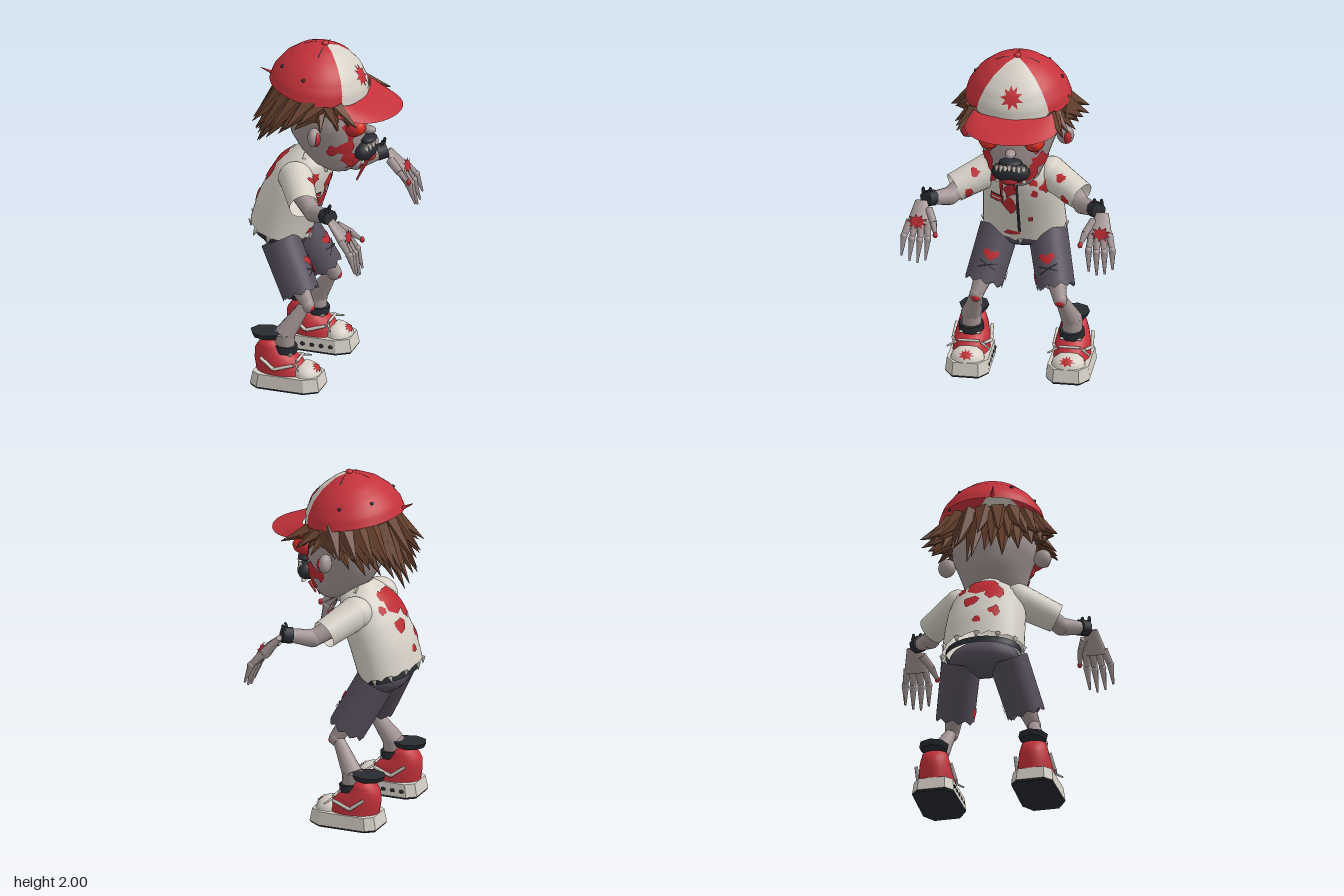
import * as THREE from 'three';
import { mergeVertices } from 'three/addons/utils/BufferGeometryUtils.js';

const mat = (name, color, extra = {}) => Object.assign(new THREE.MeshStandardMaterial({ color, ...extra }), { name });
const both = { side: THREE.DoubleSide };
const M = {
  skin: mat('skin grey', 0xa39494), cloth: mat('cloth white', 0xd6d0c6, both), red: mat('cap red', 0xc5323b, both),
  blood: mat('blood red', 0xbd2a31, both), hair: mat('hair brown', 0x68422f, { flatShading: true }),
  pants: mat('shorts purple', 0x57505d, both), black: mat('black', 0x282b31, both), eye: mat('eye red', 0xe0301f),
};
const V = (x, y, z) => new THREE.Vector3(x, y, z);
const PI = Math.PI;
let seed = 7;
const rnd = () => (seed = (seed * 16807) % 2147483647) / 2147483647;

export function createModel() {
  seed = 7;
  const root = new THREE.Group();
  root.name = 'undeadKid';
  const add = (name, geo, m, parent = root) => {
    const mesh = Object.assign(new THREE.Mesh(geo, m), { name });
    parent.add(mesh);
    return mesh;
  };
  // surface through elliptical rows [y, centreX, radiusX, radiusZ, frontDip]; u = 0 faces +x
  const rowsSurface = rows => (u, v) => {
    const t = THREE.MathUtils.clamp(v, 0, 1) * (rows.length - 1), i = Math.min(Math.floor(t), rows.length - 2);
    const [y, c, rx, rz, dip = 0] = rows[i].map((a, k) => a + (rows[i + 1][k] - a) * (t - i));
    return V(c + Math.cos(u) * rx, y - dip * Math.cos(u), Math.sin(u) * rz);
  };
  // tapered surface around the line a-b
  const limbSurface = (a, b, r0, r1) => {
    const d = b.clone().sub(a).normalize();
    const e1 = V(1, 0, 0).addScaledVector(d, -d.x).normalize(), e2 = e1.clone().cross(d);
    return (u, v) => a.clone().lerp(b, v).addScaledVector(e1, Math.cos(u) * (r0 + (r1 - r0) * v))
      .addScaledVector(e2, Math.sin(u) * (r0 + (r1 - r0) * v));
  };
  const patch = (f, u0, u1, v0, v1, nu, nv) => {
    const pos = [], idx = [];
    for (let j = 0; j <= nv; j++) for (let i = 0; i <= nu; i++) {
      pos.push(...f(u0 + (u1 - u0) * i / nu, v0 + (v1 - v0) * j / nv).toArray());
      const a = j * (nu + 1) + i, c = a + nu + 1;
      if (i < nu && j < nv) idx.push(a, c, a + 1, a + 1, c, c + 1);
    }
    let g = new THREE.BufferGeometry().setAttribute('position', new THREE.Float32BufferAttribute(pos, 3)).setIndex(idx);
    g = mergeVertices(g, 1e-5);
    g.computeVertexNormals();
    return g;
  };
  const around = (name, f, nu, nv, m, parent) => add(name, patch(f, -PI, PI, 0, 1, nu, nv), m, parent);
  // thin outline laid on a surface, w and h are half sizes
  const decal = (name, f, u, v, w, h, shape, m = M.blood, lift = 0.006, parent = root) => {
    const e = 0.01, su = f(u + e, v).distanceTo(f(u - e, v)) / (2 * e), sv = f(u, v + e).distanceTo(f(u, v - e)) / (2 * e);
    const n = shape.length;
    add(name, patch((k, r) => {
      const [a, b] = shape[Math.round(k) % n], U = u + a * (1 - r) * w / su, W = v + b * (1 - r) * h / sv;
      const out = f(U, W + e).sub(f(U, W - e)).cross(f(U + e, W).sub(f(U - e, W))).normalize();
      return f(U, W).addScaledVector(out, lift);
    }, 0, n, 0, 1, n, 4), m, parent);
  };
  const polar = (n, r) => Array.from({ length: n }, (_, k) => [Math.cos(k / n * 2 * PI) * r(k), Math.sin(k / n * 2 * PI) * r(k)]);
  const blob = () => polar(11, () => 0.5 + 0.6 * rnd());
  const star = polar(18, k => k % 2 ? 0.55 : 1);
  const square = [[1, 1], [0, 1], [-1, 1], [-1, 0], [-1, -1], [0, -1], [1, -1], [1, 0]];
  const heart = [[0, 0.95], [0.6, 0.35], [1, -0.2], [0.9, -0.7], [0.45, -0.85], [0, -0.45], [-0.45, -0.85], [-0.9, -0.7], [-1, -0.2], [-0.6, 0.35]];
  const limb = (name, a, b, r0, r1, m, n = 12, parent = root) => {
    const d = b.clone().sub(a), mesh = add(name, new THREE.CylinderGeometry(r1, r0, d.length(), n), m, parent);
    mesh.position.copy(a).addScaledVector(d, 0.5);
    mesh.quaternion.setFromUnitVectors(V(0, 1, 0), d.normalize());
    return mesh;
  };
  const ball = (name, p, x, y, z, m, parent = root) => {
    const mesh = add(name, new THREE.SphereGeometry(1, 18, 12), m, parent);
    mesh.position.copy(p);
    mesh.scale.set(x, y, z);
    return mesh;
  };
  // head
  const head = rowsSurface([[1.235, 0.09, 0, 0], [1.25, 0.09, 0.08, 0.09], [1.29, 0.07, 0.13, 0.135], [1.36, 0.05, 0.18, 0.166],
    [1.45, 0.03, 0.215, 0.197], [1.55, 0.02, 0.225, 0.235], [1.65, 0.01, 0.22, 0.24], [1.78, 0, 0.17, 0.19]]);
  around('head', head, 32, 21, M.skin);
  limb('neck', V(-0.05, 1.24, 0), V(0.01, 1.36, 0), 0.075, 0.08, M.skin);
  ball('nose', V(0.26, 1.492, 0), 0.045, 0.024, 0.03, M.skin);
  ball('mouth', V(0.245, 1.375, 0), 0.06, 0.062, 0.11, M.black);
  ball('upperLip', V(0.26, 1.44, 0), 0.048, 0.022, 0.065, M.black);
  ball('tongue', V(0.28, 1.335, 0), 0.022, 0.024, 0.045, M.blood);
  for (let i = -3; i <= 3; i++) {
    const z = i * 0.025, x = 0.305 - Math.abs(i) * 0.012, y = 1.442 - Math.abs(i) * 0.008;
    limb('upperTooth', V(x, y, z), V(x + 0.005, y - 0.033, z), 0.013, 0.009, M.cloth, 6);
    if (i % 2) limb('lowerTooth', V(x - 0.02, 1.315, z), V(x - 0.01, 1.35, z), 0.013, 0.004, M.cloth, 6);
  }
  decal('chinBlood', head, 0, 0.34, 0.15, 0.06, blob());
  limb('bloodDrip', V(0.27, 1.33, 0.05), V(0.21, 1.2, 0.06), 0.012, 0.005, M.blood, 6);
  limb('bloodDrip', V(0.24, 1.3, -0.02), V(0.2, 1.24, -0.02), 0.01, 0.005, M.blood, 6);
  for (const s of [1, -1]) {
    ball('eyeRim', V(0.222, 1.557, s * 0.13), 0.05, 0.058, 0.058, M.blood).rotation.y = -s * 0.3;
    ball('eye', V(0.242, 1.557, s * 0.133), 0.045, 0.046, 0.046, M.eye);
    ball('pupil', V(0.28, 1.557, s * 0.134), 0.011, 0.016, 0.016, M.blood);
    ball('ear', V(0.03, 1.525, s * 0.275), 0.035, 0.055, 0.05, M.skin);
    ball('earWound', V(0.05, 1.52, s * 0.29), 0.024, 0.04, 0.022, M.blood);
    for (const [u, v, w, h] of [[0.65, 0.69, 0.06, 0.07], [0.85, 0.53, 0.07, 0.06], [0.75, 0.4, 0.05, 0.06], [1.25, 0.5, 0.03, 0.05]])
      decal('faceBlood', head, s * u, v, w, h, blob());
  }
  // hair: shell, broad swept-back spikes growing longer toward the back, fringe and temple tufts
  add('hairShell', patch((u, v) => head(u, v).multiply(V(1.1, 1, 1.1)), 1.4, 2 * PI - 1.4, 0.8, 1, 24, 6), M.hair);
  for (let row = 0; row < 3; row++) for (let k = 0; k < 20; k++) {
    const u = (k + row / 3) / 20 * 2 * PI, c = Math.cos(u), s = Math.sin(u), back = (1 - c) / 2, j = rnd();
    if (back < 0.36) continue;
    const y = 1.725 - row * 0.03, len = (0.05 + 0.21 * back * back) * (0.75 + 0.45 * rnd()), out = 0.13 - row * 0.035 + 0.02 * j;
    limb('hairSpike', V(c * 0.225, y, s * 0.25), V(c * (0.235 + out * 0.35) - 0.11 * back - 0.05 * s * s, y - len, s * (0.25 + out)), 0.058, 0.001, M.hair, 5);
  }
  for (let k = -4; k <= 4; k++) {
    const c = Math.cos(k * 0.25), s = Math.sin(k * 0.25);
    limb('fringe', V(c * 0.215, 1.665, s * 0.23), V(c * 0.28, 1.55 + 0.035 * rnd(), s * 0.28), 0.04, 0.001, M.hair, 5);
  }
  for (const s of [1, -1]) for (let k = 0; k < 3; k++)
    limb('templeTuft', V(0.15 - k * 0.05, 1.69, s * 0.22), V(0.29 - k * 0.1, 1.63 - k * 0.02, s * (0.3 + k * 0.02)), 0.045, 0.002, M.hair, 5);

  // cap: tilted dome with a pale front panel
  const dome = rowsSurface([[0, 0, 0.28, 0.3], [0.06, 0, 0.267, 0.282], [0.13, 0, 0.225, 0.235], [0.19, 0, 0.16, 0.168],
    [0.235, 0, 0.078, 0.08], [0.25, 0, 0, 0]]);
  const cap = (u, v) => dome(u, v).applyAxisAngle(V(0, 0, 1), -0.16).add(V(-0.03, 1.735, 0));
  add('capCrown', patch(cap, 0.76, 2 * PI - 0.76, 0, 1, 30, 15), M.red);
  add('capFrontPanel', patch(cap, -0.76, 0.76, 0, 1, 10, 15), M.cloth);
  decal('capStar', cap, 0, 0.37, 0.065, 0.07, star, M.red);
  ball('capButton', V(0.005, 1.985, 0), 0.02, 0.015, 0.02, M.red);
  for (const u of [1.7, 2.5, -2.5, -1.7]) ball('eyelet', cap(u, 0.35), 0.01, 0.01, 0.01, M.black);
  for (const u of [1.57, PI, -1.57]) decal('capSeam', cap, u, 0.8, 0.003, 0.045, square, M.black, 0.004);
  const brim = (u, v) => {
    const x = 0.17 + Math.cos(u) * (0.07 + 0.21 * v), z = Math.sin(u) * (0.22 + 0.06 * v);
    return V(x, 1.722 - (x - 0.17) * 0.32 - 0.7 * z * z * v, z);
  };
  add('capBrim', patch(brim, -PI / 2, PI / 2, 0, 1, 20, 4), M.red);
  limb('tornCapShard', V(-0.29, 1.79, 0.06), V(-0.35, 1.82, 0.08), 0.012, 0.002, M.red, 4);

  // shirt with ragged hem
  const body = rowsSurface([[0.855, -0.25, 0.165, 0.235, 0.05], [1.0, -0.205, 0.17, 0.228, 0.045], [1.12, -0.155, 0.165, 0.22, 0.04],
    [1.22, -0.11, 0.148, 0.2, 0.04], [1.29, -0.07, 0.115, 0.145, 0.03], [1.33, -0.05, 0.085, 0.085, 0.03]]);
  around('shirt', (u, v) => body(u, v).add(V(0, v < 0.01 ? -0.018 * Math.max(0, Math.sin(u * 13)) : 0, 0)), 48, 15, M.cloth);
  decal('placket', body, 0, 0.36, 0.008, 0.19, square, M.black);
  decal('nameTag', body, 0.58, 0.41, 0.043, 0.025, square, M.black, 0.005);
  decal('nameTagFace', body, 0.58, 0.41, 0.037, 0.018, square, M.blood, 0.008);
  decal('nameTagStripe', body, 0.58, 0.41, 0.028, 0.004, square, M.cloth, 0.0095);
  const stains = [[0.2, 0.55, 0.045, 0.07], [0.22, 0.36, 0.045, 0.08], [0.2, 0.06, 0.055, 0.022], [-0.9, 0.55, 0.055, 0.055], [-0.45, 0.5, 0.025, 0.03],
    [-0.3, 0.2, 0.02, 0.03], [0.9, 0.65, 0.035, 0.04], [-0.5, 0.66, 0.025, 0.035], [PI - 0.05, 0.62, 0.1, 0.1], [PI + 0.25, 0.35, 0.055, 0.065],
    [PI - 0.35, 0.5, 0.06, 0.09], [PI - 0.4, 0.22, 0.035, 0.045], [PI + 0.6, 0.55, 0.03, 0.03], [PI + 0.35, 0.7, 0.04, 0.04], [PI, 0.12, 0.03, 0.03]];
  for (const [u, v, w, h] of stains) decal('shirtBlood', body, u, v, w, h, blob());
  for (let k = 0; k < 12; k++) {
    const p = body(k / 12 * 2 * PI, 0);
    limb('hemTatter', p, p.clone().add(V(-0.02 * rnd(), -0.04, 0)), 0.016, 0.002, M.cloth, 4);
  }
  // hips and belt
  ball('hips', V(-0.22, 0.82, 0), 0.135, 0.1, 0.2, M.pants);
  around('belt', rowsSurface([[0.82, -0.25, 0.145, 0.215, 0.03], [0.86, -0.24, 0.145, 0.215, 0.03]]), 32, 1, M.black);

  for (const s of [1, -1]) {
    const P = (x, y, z) => V(x, y, s * z);
    const [arm, leg, shoe] = ['Arm', 'Leg', 'Shoe'].map(n => Object.assign(new THREE.Group(), { name: (s > 0 ? 'right' : 'left') + n }));
    root.add(arm, leg, shoe);
    // collar flap and sleeve
    limb('collarFlap', P(-0.1, 1.31, 0.09), P(0.04, 1.25, 0.05), 0.035, 0.03, M.cloth, 6, arm);
    ball('shoulder', P(-0.11, 1.215, 0.175), 0.1, 0.095, 0.085, M.cloth, arm);
    const sleeve = limbSurface(P(-0.11, 1.215, 0.17), P(0, 1.135, 0.36), 0.095, 0.082);
    around('sleeve', sleeve, 20, 3, M.cloth, arm);
    decal('sleeveBlood', sleeve, s * 0.5, 0.8, 0.035, 0.03, blob(), M.blood, 0.006, arm);
    decal('sleeveBlood', sleeve, -s * 0.6, 0.45, 0.03, 0.035, blob(), M.blood, 0.006, arm);
    // arm
    limb('upperArm', P(-0.06, 1.18, 0.27), P(0.06, 1.11, 0.375), 0.055, 0.05, M.skin, 12, arm);
    ball('elbow', P(0.06, 1.11, 0.375), 0.052, 0.05, 0.052, M.skin, arm);
    limb('forearm', P(0.06, 1.11, 0.375), P(0.2, 1.15, 0.485), 0.052, 0.033, M.skin, 12, arm);
    limb('wristband', P(0.155, 1.14, 0.455), P(0.2, 1.15, 0.49), 0.048, 0.046, M.black, 8, arm);
    for (const z of [0.465, 0.505]) limb('bandScrap', P(0.18, 1.18, z), P(0.19, 1.215, z), 0.012, 0.008, M.black, 4, arm);
    // hand: flat flaring palm with spread fingers
    const palm = add('palm', new THREE.CylinderGeometry(0.072, 0.036, 0.14, 10), M.skin, arm);
    palm.position.copy(P(0.25, 1.085, 0.512));
    palm.rotation.z = -2.447;
    palm.scale.x = 0.45;
    for (let k = 0; k < 4; k++) {
      const z = 0.455 + k * 0.045, drop = [0.02, 0, 0.01, 0.04][k];
      const a = P(0.285, 1.05, 0.465 + k * 0.033), b = P(0.345, 0.96 + drop / 2, z), c = P(0.38, 0.835 + drop, z + 0.008);
      limb('finger', a, b, 0.023, 0.018, M.skin, 6, arm);
      ball('knuckle', b, 0.022, 0.022, 0.02, M.skin, arm);
      limb('fingertip', b, c, 0.021, 0.006, M.skin, 6, arm);
    }
    limb('thumb', P(0.23, 1.1, 0.47), P(0.3, 1.05, 0.43), 0.026, 0.022, M.skin, 6, arm);
    limb('thumbTip', P(0.3, 1.05, 0.43), P(0.355, 1.005, 0.41), 0.022, 0.01, M.skin, 6, arm);
    ball('thumbBlood', P(0.36, 1.005, 0.41), 0.014, 0.018, 0.014, M.blood, arm);
    decal('handBlood', (u, v) => P(0.318 + v * 0.3, 1.06 - v * 0.95, 0.52 + s * u), 0, 0, 0.06, 0.045, star, M.blood, 0.002, arm);
    // ragged shorts leg with a heart and crossed stitches
    const shorts = limbSurface(P(-0.215, 0.81, 0.135), P(-0.07, 0.53, 0.205), 0.112, 0.108);
    around('shortsLeg', (u, v) => shorts(u, v > 0.99 ? 1 + 0.035 * Math.sin(u * 9) : v), 36, 4, M.pants, leg);
    decal('heartPatch', shorts, 0, 0.52, 0.045, 0.036, heart, M.blood, 0.006, leg);
    for (const d of [1, -1]) decal('crossStitch', shorts, 0, 0.69, 1, 1,
      [[-0.05, -0.02 * d], [0, -0.005], [0.05, 0.02 * d - 0.005], [0.05, 0.02 * d + 0.005], [0, 0.005], [-0.05, -0.02 * d + 0.01]], M.black, 0.007, leg);
    decal('shortsBlood', shorts, s * 1.7, 0.8, 0.03, 0.04, blob(), M.blood, 0.006, leg);
    // lower leg
    limb('thigh', P(-0.1, 0.6, 0.195), P(-0.02, 0.48, 0.235), 0.06, 0.04, M.skin, 10, leg);
    ball('knee', P(-0.02, 0.475, 0.237), 0.04, 0.045, 0.04, M.skin, leg);
    ball('kneeWound', P(0.003, 0.465, 0.238), 0.02, 0.024, 0.026, M.blood, leg);
    limb('shin', P(-0.03, 0.48, 0.237), P(-0.14, 0.3, 0.285), 0.032, 0.06, M.skin, 10, leg);
    limb('ankle', P(-0.14, 0.31, 0.285), P(-0.14, 0.18, 0.285), 0.06, 0.055, M.skin, 10, leg);
    // shoe
    shoe.position.z = s * 0.285;
    const plan = new THREE.Shape([[-0.2, -0.08], [-0.15, -0.12], [0.13, -0.125], [0.205, -0.075], [0.205, 0.075], [0.13, 0.125], [-0.15, 0.12], [-0.2, 0.08]]
      .map(p => new THREE.Vector2(...p)));
    for (const [name, m, y, h, low, high] of [['outsole', M.black, 0, 0.012, 0.97, 1], ['sole', M.cloth, 0.012, 0.074, 1, 0.93]]) {
      const g = new THREE.ExtrudeGeometry(plan, { depth: h, bevelEnabled: false }).rotateX(-PI / 2), p = g.attributes.position;
      for (let i = 0; i < p.count; i++) { const k = p.getY(i) > h / 2 ? high : low; p.setX(i, p.getX(i) * k).setZ(i, p.getZ(i) * k); }
      g.computeVertexNormals();
      add(name, g, m, shoe).position.set(-0.117, y, 0);
    }
    const upper = rowsSurface([[0.08, -0.145, 0.155, 0.105], [0.15, -0.17, 0.142, 0.1], [0.21, -0.21, 0.1, 0.085], [0.265, -0.22, 0.055, 0.07], [0.275, -0.22, 0, 0]]);
    around('shoeUpper', upper, 24, 8, M.red, shoe);
    const toe = rowsSurface([[0.08, -0.005, 0.08, 0.098], [0.115, -0.01, 0.07, 0.088], [0.14, -0.015, 0.045, 0.055], [0.15, -0.02, 0, 0]]);
    around('toeCap', toe, 20, 6, M.cloth, shoe);
    decal('toeBlood', toe, 0, 0.45, 0.045, 0.032, star, M.blood, 0.006, shoe);
    for (let k = 0; k < 2; k++) limb('lace', V(-0.05 - k * 0.04, 0.17 + k * 0.032, -0.06), V(-0.05 - k * 0.04, 0.17 + k * 0.032, 0.06), 0.008, 0.008, M.cloth, 6, shoe);
    for (const d of [1, -1]) {
      limb('sideStripe', V(-0.25, 0.185, d * 0.1), V(-0.17, 0.125, d * 0.108), 0.01, 0.01, M.cloth, 6, shoe);
      limb('sideStripe', V(-0.17, 0.125, d * 0.108), V(-0.06, 0.155, d * 0.085), 0.01, 0.01, M.cloth, 6, shoe);
      limb('looseLace', V(-0.05, 0.16, d * 0.07), V(-0.02, 0.14, d * 0.12), 0.007, 0.005, M.cloth, 6, shoe);
    }
    for (let k = 0; k < 5; k++) ball('soleDot', V(-0.24 + k * 0.055, 0.045, -s * 0.119), 0.014, 0.011, 0.006, M.black, shoe);
    limb('ankleStrap', V(-0.14, 0.205, 0), V(-0.135, 0.245, 0), 0.072, 0.07, M.black, 10, shoe);
    limb('shoeCollar', V(-0.24, 0.28, 0), V(-0.24, 0.31, 0), 0.085, 0.1, M.black, 8, shoe).scale.z = 0.85;
  }
  return root;
}
